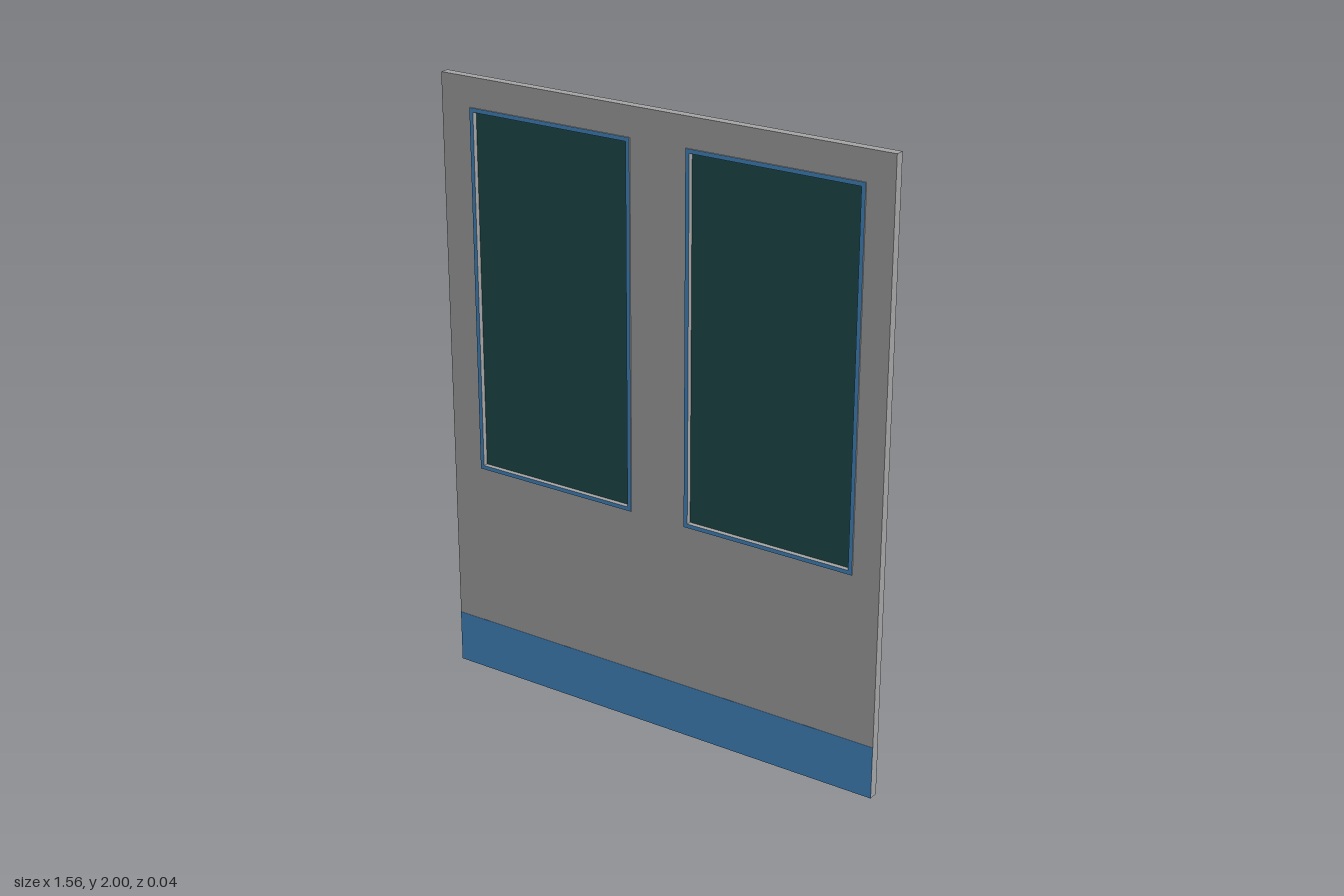
import * as THREE from 'three';

const mat = (name, color, side = THREE.FrontSide) => {
  const m = new THREE.MeshStandardMaterial({ color, side });
  m.name = name;
  return m;
};

const W = 0.78, H = 2, T = 0.03;            // half width, height, thickness
const BAND = 0.175;                         // kick band height
const Y0 = 0.735, Y1 = 1.893;               // window opening heights
const OPENINGS = [[-0.66, -0.102], [0.118, 0.677]];

// Closed rectangle traced on a Shape or Path
function rect(path, x0, y0, x1, y1) {
  path.moveTo(x0, y0);
  path.lineTo(x1, y0);
  path.lineTo(x1, y1);
  path.lineTo(x0, y1);
  path.closePath();
  return path;
}

// Extruded plate with rectangular holes, from z to z + depth
function plate(outer, holes, z, depth) {
  const shape = rect(new THREE.Shape(), ...outer);
  for (const h of holes) shape.holes.push(rect(new THREE.Path(), ...h));
  const g = new THREE.ExtrudeGeometry(shape, { depth, bevelEnabled: false });
  return g.translate(0, 0, z);
}

export function createModel() {
  const group = new THREE.Group();
  const grey = mat('panel grey', 0xa3a3a3);
  const blue = mat('trim blue', 0x4488c4);
  const glass = mat('dark glass', 0x1f4a49);

  const add = (name, geometry, material) => {
    const m = new THREE.Mesh(geometry, material);
    m.name = name;
    group.add(m);
    return m;
  };

  // Door panel with two window openings
  const holes = OPENINGS.map(([a, b]) => [a, Y0, b, Y1]);
  add('doorPanel', plate([-W, 0, W, H], holes, -T / 2, T), grey);

  // Window panes, and a blue-faced frame on each side of the panel
  OPENINGS.forEach(([a, b], i) => {
    const side = i ? 'left' : 'right';
    const pane = new THREE.BoxGeometry(b - a, Y1 - Y0, 0.006);
    pane.translate((a + b) / 2, (Y0 + Y1) / 2, 0);
    add(side + 'WindowPane', pane, glass);

    const e = 0.013;
    const outer = [a - e, Y0 - e, b + e, Y1 + e];
    for (const s of [1, -1]) {
      const z = s > 0 ? T / 2 : -T / 2 - 0.004;
      add(side + (s > 0 ? 'FrontFrame' : 'BackFrame'),
        plate(outer, [[a, Y0, b, Y1]], z, 0.004), [blue, grey]);
    }
  });

  // Kick bands, one per door leaf on each face
  for (const s of [1, -1]) {
    for (const leaf of [1, -1]) {
      const g = new THREE.BoxGeometry(W, BAND, 0.001);
      g.translate(leaf * W / 2, BAND / 2, s * (T / 2 + 0.0005));
      add((leaf > 0 ? 'left' : 'right') + (s > 0 ? 'FrontKickBand' : 'BackKickBand'), g, blue);
    }
  }
  return group;
}
